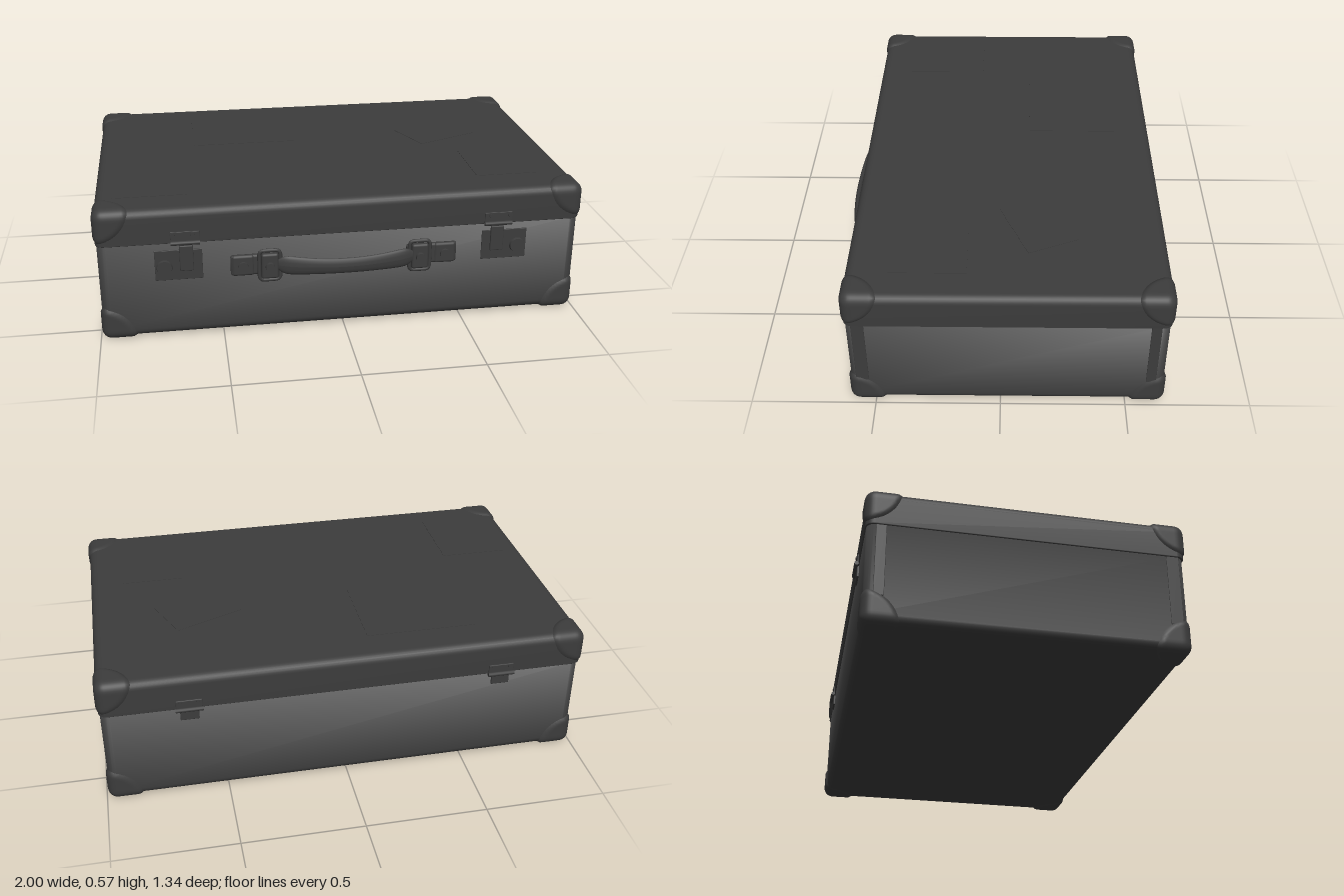
import * as THREE from 'three';
import { mergeVertices } from 'three/addons/utils/BufferGeometryUtils.js';
import { RoundedBoxGeometry } from 'three/addons/geometries/RoundedBoxGeometry.js';

const dark = new THREE.MeshStandardMaterial({ color: 0x3c3c3c, roughness: 0.8, side: THREE.DoubleSide });
const CZ = -0.028; // middle of the case in z

function add(parent, name, geo, x = 0, y = 0, z = 0) {
  const m = new THREE.Mesh(geo, dark);
  m.name = name;
  m.position.set(x, y, z);
  parent.add(m);
  return m;
}

// Rounded-rectangle tray: rings of [inset, y], closed at both ends
function tray(hx, hz, r, profile) {
  const pos = [], idx = [], K = 6, N = 4 * (K + 1);
  for (const [inset, y] of profile) {
    const rad = Math.max(r - inset, 0), cx = hx - inset - rad, cz = hz - inset - rad;
    for (let c = 0; c < 4; c++) for (let k = 0; k <= K; k++) {
      const a = (c + k / K) * Math.PI / 2;
      const sx = c === 0 || c === 3 ? 1 : -1, sz = c < 2 ? 1 : -1;
      pos.push(sx * cx + rad * Math.cos(a), y, sz * cz + rad * Math.sin(a));
    }
  }
  for (let j = 0; j < profile.length - 1; j++) for (let i = 0; i < N; i++) {
    const a = j * N + i, b = j * N + (i + 1) % N;
    idx.push(a, a + N, b, b, a + N, b + N);
  }
  const last = profile.length - 1, base = pos.length / 3;
  pos.push(0, profile[0][1], 0, 0, profile[last][1], 0);
  for (let i = 0; i < N; i++) {
    const n = (i + 1) % N;
    idx.push(base, i, n, base + 1, last * N + n, last * N + i);
  }
  const g = new THREE.BufferGeometry();
  g.setAttribute('position', new THREE.Float32BufferAttribute(pos, 3));
  g.setIndex(idx);
  g.computeVertexNormals();
  return g;
}

// Quarter-round edge from the side wall to a flat face at height y (dir +1 top, -1 bottom)
function roundEdge(r, y, dir) {
  return Array.from({ length: 7 }, (_, i) => {
    const a = i / 6 * Math.PI / 2;
    return [r * (1 - Math.cos(a)), y - dir * r * (1 - Math.sin(a))];
  });
}

// Corner guard: a rounded box corner that sinks into the case away from its tip
function cornerGuard(sx, sy, sz) {
  const s = 0.18, n = 18, r = 0.042, core = s - r;
  const src = new THREE.BoxGeometry(s, s, s, n, n, n);
  const kept = [];
  for (const f of [0, 2, 4]) {
    const { start, count } = src.groups[f];
    for (let i = start; i < start + count; i++) kept.push(src.index.getX(i));
  }
  if (sx * sy * sz < 0) for (let i = 0; i < kept.length; i += 3) [kept[i], kept[i + 1]] = [kept[i + 1], kept[i]];
  src.setIndex(kept);
  src.clearGroups();
  src.deleteAttribute('uv');
  src.deleteAttribute('normal');
  const p = src.attributes.position, v = new THREE.Vector3(), q = new THREE.Vector3();
  for (let i = 0; i < p.count; i++) {
    v.fromBufferAttribute(p, i).addScalar(s / 2);
    const dist = v.distanceTo(new THREE.Vector3(s, s, s));
    q.copy(v).clampScalar(0, core);
    v.sub(q).normalize().multiplyScalar(r - 0.018 * THREE.MathUtils.smoothstep(dist, 0.125, 0.16)).add(q).subScalar(s);
    p.setXYZ(i, v.x * sx, v.y * sy, v.z * sz);
  }
  const g = mergeVertices(src.toNonIndexed());
  g.computeVertexNormals();
  return g;
}

// Disc or pin whose axis points along z
const disc = (r, h, seg = 20) => new THREE.CylinderGeometry(r * 0.9, r, h, seg).rotateX(Math.PI / 2);
const bar = (r, len) => new THREE.CylinderGeometry(r, r, len, 12).rotateZ(Math.PI / 2);
const block = (w, h, d, r = 0.004) => new RoundedBoxGeometry(w, h, d, 2, r);

function latch(side) {
  const g = new THREE.Group();
  g.name = 'latch';
  add(g, 'latchPlate', block(0.19, 0.13, 0.006, 0.002), side * 0.67, 0.325, 0.595);
  add(g, 'latchHasp', block(0.055, 0.11, 0.012), side * 0.638, 0.355, 0.6);
  add(g, 'latchUpperPlate', block(0.115, 0.045, 0.006, 0.002), side * 0.64, 0.448, 0.6);
  add(g, 'latchBar', bar(0.009, 0.115), side * 0.64, 0.422, 0.603);
  for (const d of [-0.04, 0.04]) add(g, 'latchRivet', disc(0.01, 0.008, 12), side * 0.65 + d, 0.457, 0.603);
  add(g, 'latchButton', disc(0.033, 0.014, 24), side * 0.727, 0.317, 0.601);
  return g;
}

function hinge(side) {
  const g = new THREE.Group();
  g.name = 'hinge';
  add(g, 'hingePin', bar(0.009, 0.11), side * 0.64, 0.42, -0.662);
  add(g, 'hingeUpperLeaf', block(0.105, 0.04, 0.008, 0.003), side * 0.64, 0.442, -0.656);
  add(g, 'hingeLowerLeaf', block(0.075, 0.05, 0.012, 0.003), side * 0.64, 0.393, -0.652);
  for (const d of [-0.035, 0.035]) add(g, 'hingeRivet', disc(0.008, 0.01, 10), side * 0.64 + d, 0.452, -0.66);
  return g;
}

// Bowed grip built from elliptical sections along x
function gripGeometry() {
  const L = 40, R = 16;
  const g = new THREE.CylinderGeometry(1, 1, 1, R, L).rotateZ(Math.PI / 2);
  const p = g.attributes.position;
  for (let i = 0; i < p.count; i++) {
    const t = p.getX(i) * 2, e = t * t;
    const end = Math.sqrt(Math.max(0.25, 1 - Math.pow(Math.abs(t), 16)));
    p.setXYZ(i, t * 0.275, 0.303 + 0.012 * e + p.getY(i) * (0.033 + 0.012 * e) * end,
      0.657 - 0.024 * e + p.getZ(i) * 0.014 * end);
  }
  g.computeVertexNormals();
  return g;
}

function handleEnd(side) {
  const g = new THREE.Group();
  g.name = 'handleMount';
  add(g, 'handleTab', block(0.21, 0.088, 0.022, 0.01), side * 0.36, 0.31, 0.603);
  add(g, 'handleTabTip', block(0.09, 0.09, 0.024, 0.011), side * 0.415, 0.31, 0.606);
  add(g, 'tabStud', disc(0.022, 0.018), side * 0.415, 0.308, 0.617);
  add(g, 'claspStrap', block(0.07, 0.11, 0.026, 0.01), side * 0.308, 0.308, 0.622);
  add(g, 'claspStud', disc(0.02, 0.018), side * 0.308, 0.308, 0.638);
  // Rectangular wire ring around the clasp
  const ring = new THREE.CatmullRomCurve3([[-0.042, -0.05], [-0.03, -0.064], [0.03, -0.064], [0.042, -0.05],
    [0.042, 0.05], [0.03, 0.064], [-0.03, 0.064], [-0.042, 0.05]].map(([x, y]) => new THREE.Vector3(x, y, 0)), true, 'catmullrom', 0.2);
  add(g, 'handleRing', new THREE.TubeGeometry(ring, 48, 0.008, 8, true), side * 0.308, 0.308, 0.618);
  return g;
}

export function createModel() {
  const model = new THREE.Group();
  model.name = 'suitcase';

  // Case halves meeting at the seam
  add(model, 'caseBase', tray(0.985, 0.622, 0.035, [...roundEdge(0.035, 0.01, -1).reverse(), [0, 0.425]]), 0, 0, CZ);
  add(model, 'caseLid', tray(0.992, 0.627, 0.035, [[0.02, 0.42], [0.003, 0.42], [0, 0.423], ...roundEdge(0.035, 0.567, 1)]), 0, 0, CZ);

  // Eight corner guards
  for (const sx of [-1, 1]) for (const sz of [-1, 1]) {
    add(model, 'lidCornerGuard', cornerGuard(sx, 1, sz), sx * 0.999, 0.575, CZ + sz * 0.634);
    add(model, 'baseCornerGuard', cornerGuard(sx, -1, sz), sx * 0.994, 0.001, CZ + sz * 0.63);
  }

  for (const side of [-1, 1]) {
    model.add(latch(side), hinge(side), handleEnd(side));
    // Reinforcing strips along the upright edges of the end walls
    add(model, 'edgeStrip', block(0.006, 0.3, 0.05, 0.002), side * 0.984, 0.27, 0.545);
    add(model, 'edgeStrip', block(0.006, 0.3, 0.04, 0.002), side * 0.984, 0.27, -0.595);
  }
  add(model, 'handleGrip', gripGeometry());

  // Thin travel labels on the lid: x, z, width, depth, turn
  for (const [x, z, w, d, turn] of [[-0.34, -0.31, 0.46, 0.38, 0], [-0.77, 0.28, 0.3, 0.35, 0], [0.55, -0.15, 0.3, 0.22, 0.4], [0.72, 0.28, 0.26, 0.3, 0]])
    add(model, 'lidLabel', new THREE.BoxGeometry(w, 0.003, d), x, 0.567, z).rotation.y = turn;

  return model;
}
